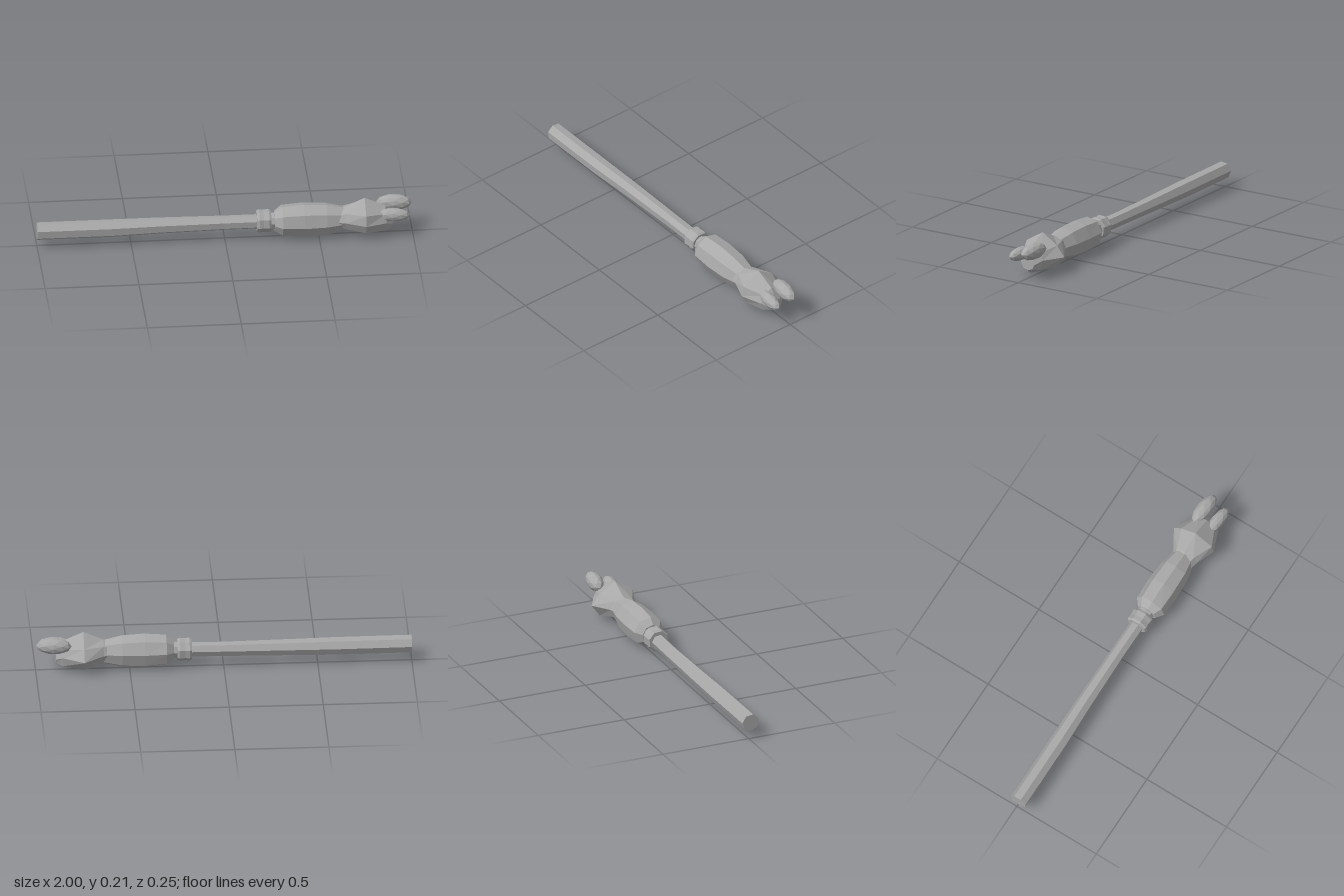
import * as THREE from 'three';

const grey = new THREE.MeshStandardMaterial({ color: 0xa8a8a8, flatShading: true });
grey.name = 'plain grey';

// Skin closed rings of [y, z] points set along x, with capped ends
function loft(name, sections) {
  const pos = [];
  const put = (...pts) => pts.forEach((p) => pos.push(...p));
  const rings = sections.map(([x, pts]) => pts.map(([y, z]) => [x, y, z]));
  const n = rings[0].length;
  for (let i = 0; i < rings.length - 1; i++) {
    for (let j = 0; j < n; j++) {
      const k = (j + 1) % n;
      const a = rings[i][j], b = rings[i][k], c = rings[i + 1][j], d = rings[i + 1][k];
      put(a, b, c, b, d, c);
    }
  }
  const first = rings[0], last = rings[rings.length - 1];
  for (let j = 1; j < n - 1; j++) {
    put(first[0], first[j + 1], first[j]);
    put(last[0], last[j], last[j + 1]);
  }
  const geo = new THREE.BufferGeometry();
  geo.setAttribute('position', new THREE.Float32BufferAttribute(pos, 3));
  geo.computeVertexNormals();
  const mesh = new THREE.Mesh(geo, grey);
  mesh.name = name;
  return mesh;
}

// Regular ring: centre (y, z), radii and turn
function ring(n, cy, cz, ry, rz = ry, turn = 0) {
  return Array.from({ length: n }, (_, j) => {
    const a = turn + (j / n) * Math.PI * 2;
    return [cy + ry * Math.cos(a), cz + rz * Math.sin(a)];
  });
}

export function createModel() {
  const group = new THREE.Group();
  group.name = 'staff';

  // Slightly bent, tapering shaft
  const shaft = [
    [-1, 0.096, 0.011, 0.048], [-0.6, 0.095, 0.009, 0.048], [-0.35, 0.097, 0.005, 0.044],
    [0, 0.098, 0.004, 0.039], [0.2, 0.099, 0.006, 0.039],
  ];
  group.add(loft('shaft', shaft.map(([x, y, z, r]) => [x, ring(7, y, z, r, r, 0.3)])));

  // Collar and the narrow neck behind it
  const collar = [[0.17, 0.056], [0.182, 0.062], [0.205, 0.059], [0.235, 0.062], [0.246, 0.056]];
  group.add(loft('collar', collar.map(([x, r]) => [x, ring(8, 0.102, 0.006, r, r, 0.3)])));
  group.add(loft('neck', [[0.24, ring(8, 0.1, 0.006, 0.045)], [0.28, ring(8, 0.1, 0.006, 0.048)]]));

  // Swollen grip
  const grip = [
    [0.265, 0.1, 0.055, 0.055], [0.305, 0.102, 0.083, 0.086], [0.42, 0.1, 0.095, 0.09],
    [0.54, 0.1, 0.088, 0.084], [0.66, 0.1, 0.06, 0.058],
  ];
  group.add(loft('grip', grip.map(([x, y, ry, rz]) => [x, ring(8, y, 0.009, ry, rz, 0.12)])));

  // Faceted head with ridges on top and at the sides
  group.add(loft('head', [
    [0.59, ring(8, 0.105, 0.012, 0.045, 0.06)],
    [0.64, ring(8, 0.106, 0.012, 0.064, 0.074)],
    [0.745, [[0.217, 0.012], [0.157, 0.113], [0.1, 0.125], [0.05, 0.1],
      [0.021, 0.045], [0.036, -0.078], [0.1, -0.125], [0.157, -0.08]]],
    [0.855, [[0.168, 0.012], [0.14, 0.062], [0.095, 0.082], [0.045, 0.065],
      [0.02, 0.015], [0.045, -0.045], [0.1, -0.062], [0.14, -0.042]]],
    [0.892, ring(8, 0.078, 0.01, 0.034, 0.04)],
  ]));

  // Pair of blunt ears pointing forward
  const ear = (name, x, y, z, rx, ry, rz, yaw) => {
    const geo = new THREE.IcosahedronGeometry(1, 1).scale(rx, ry, rz);
    const mesh = new THREE.Mesh(geo, grey);
    mesh.name = name;
    mesh.position.set(x, y, z);
    mesh.rotation.y = yaw;
    group.add(mesh);
  };
  ear('backEar', 0.905, 0.161, -0.035, 0.095, 0.044, 0.042, -0.1);
  ear('frontEar', 0.893, 0.131, 0.054, 0.09, 0.037, 0.035, -0.1);

  return group;
}
